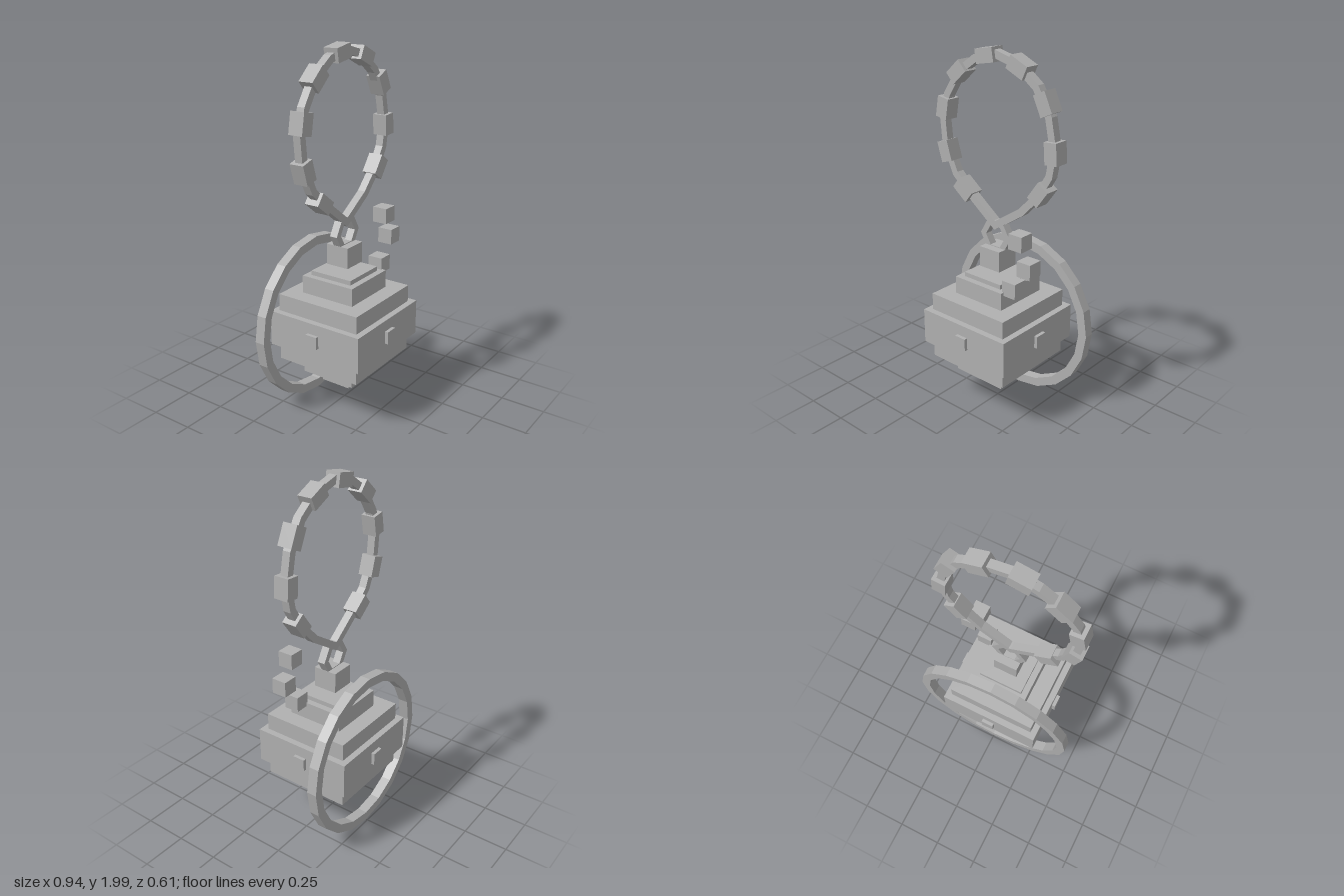
import * as THREE from 'three';

const grey = new THREE.MeshStandardMaterial({ color: 0xb0b0b0, flatShading: true });
grey.name = 'grey';

function addMesh(parent, name, geometry, x, y, z) {
  const mesh = new THREE.Mesh(geometry, grey);
  mesh.name = name;
  mesh.position.set(x, y, z);
  parent.add(mesh);
  return mesh;
}

function addBox(parent, name, w, h, d, x, y, z) {
  return addMesh(parent, name, new THREE.BoxGeometry(w, h, d), x, y, z);
}

// Closed square-section band along a clockwise or anticlockwise outline, mitred at corners
function bandGeometry(points, width, depth) {
  const n = points.length;
  const offset = (amount) => points.map((p, i) => {
    const a = p.clone().sub(points[(i + n - 1) % n]).normalize();
    const b = points[(i + 1) % n].clone().sub(p).normalize();
    const normal = new THREE.Vector2(a.y + b.y, -a.x - b.x).normalize();
    const mitre = Math.max(0.6, normal.dot(new THREE.Vector2(a.y, -a.x)));
    return p.clone().addScaledVector(normal, amount / mitre);
  });
  const shape = new THREE.Shape(offset(width / 2));
  shape.holes.push(new THREE.Path(offset(-width / 2)));
  const geometry = new THREE.ExtrudeGeometry(shape, { depth, bevelEnabled: false });
  return geometry.translate(0, 0, -depth / 2);
}

function polygon(sides, radius) {
  return Array.from({ length: sides }, (_, i) => {
    const a = (i / sides) * Math.PI * 2;
    return new THREE.Vector2(Math.cos(a) * radius, Math.sin(a) * radius);
  });
}

export function createModel() {
  const model = new THREE.Group();
  model.name = 'steppedCharm';

  // Stepped body: half width, bottom, top
  const body = new THREE.Group();
  body.name = 'body';
  model.add(body);
  [
    [0.087, 0.13, 0.195], [0.162, 0.195, 0.288], [0.253, 0.288, 0.38],
    [0.288, 0.38, 0.58], [0.253, 0.58, 0.676], [0.162, 0.676, 0.775],
    [0.127, 0.775, 0.80],
  ].forEach(([half, low, high], i) =>
    addBox(body, `tier${i + 1}`, half * 2, high - low, half * 2, 0, (low + high) / 2, 0));

  // One stud on each side of the widest tier
  for (let i = 0; i < 4; i++) {
    const a = (i * Math.PI) / 2;
    const stud = addBox(body, `stud${i + 1}`, 0.07, 0.07, 0.04,
      Math.sin(a) * 0.287, 0.483, Math.cos(a) * 0.287);
    stud.rotation.y = a;
  }

  // Cap block above the body
  addBox(model, 'cap', 0.136, 0.115, 0.136, 0, 0.892, 0);

  // Floating cubes
  [[0.233, 1.07], [0.29, 0.935], [0.194, 0.797]].forEach(([x, y], i) =>
    addBox(model, `cube${i + 1}`, 0.085, 0.085, 0.085, x, y, 0.097));

  // Large ring behind the body, and small link above the cap
  addMesh(model, 'backRing', bandGeometry(polygon(20, 0.443), 0.05, 0.056), 0, 0.48, -0.213);
  addMesh(model, 'link', bandGeometry(polygon(6, 0.083), 0.032, 0.044), 0, 1.01, 0);

  // Teardrop cord
  const cord = [
    [-0.005, 1.07], [0.17, 1.185], [0.28, 1.3], [0.345, 1.41], [0.368, 1.54],
    [0.335, 1.7], [0.255, 1.835], [0.13, 1.93], [-0.01, 1.966], [-0.135, 1.93],
    [-0.25, 1.85], [-0.335, 1.72], [-0.37, 1.6], [-0.355, 1.45], [-0.285, 1.3],
    [-0.175, 1.2],
  ].map(([x, y]) => new THREE.Vector2(x, y));
  addMesh(model, 'cord', bandGeometry(cord, 0.04, 0.044), 0, 0, 0);

  // Block beads along the cord: x, y, tilt in degrees
  const beads = new THREE.Group();
  beads.name = 'beads';
  model.add(beads);
  [
    [-0.217, 1.225, -38], [-0.344, 1.415, -73], [-0.354, 1.65, 80],
    [-0.249, 1.85, 42], [-0.056, 1.953, 10], [0.15, 1.919, -25],
    [0.312, 1.766, -65], [0.365, 1.534, -86], [0.291, 1.311, 54],
  ].forEach(([x, y, tilt], i) => {
    const bead = addBox(beads, `bead${i + 1}`, 0.113, 0.074, 0.083, x, y, 0);
    bead.rotation.z = THREE.MathUtils.degToRad(tilt);
  });

  return model;
}
